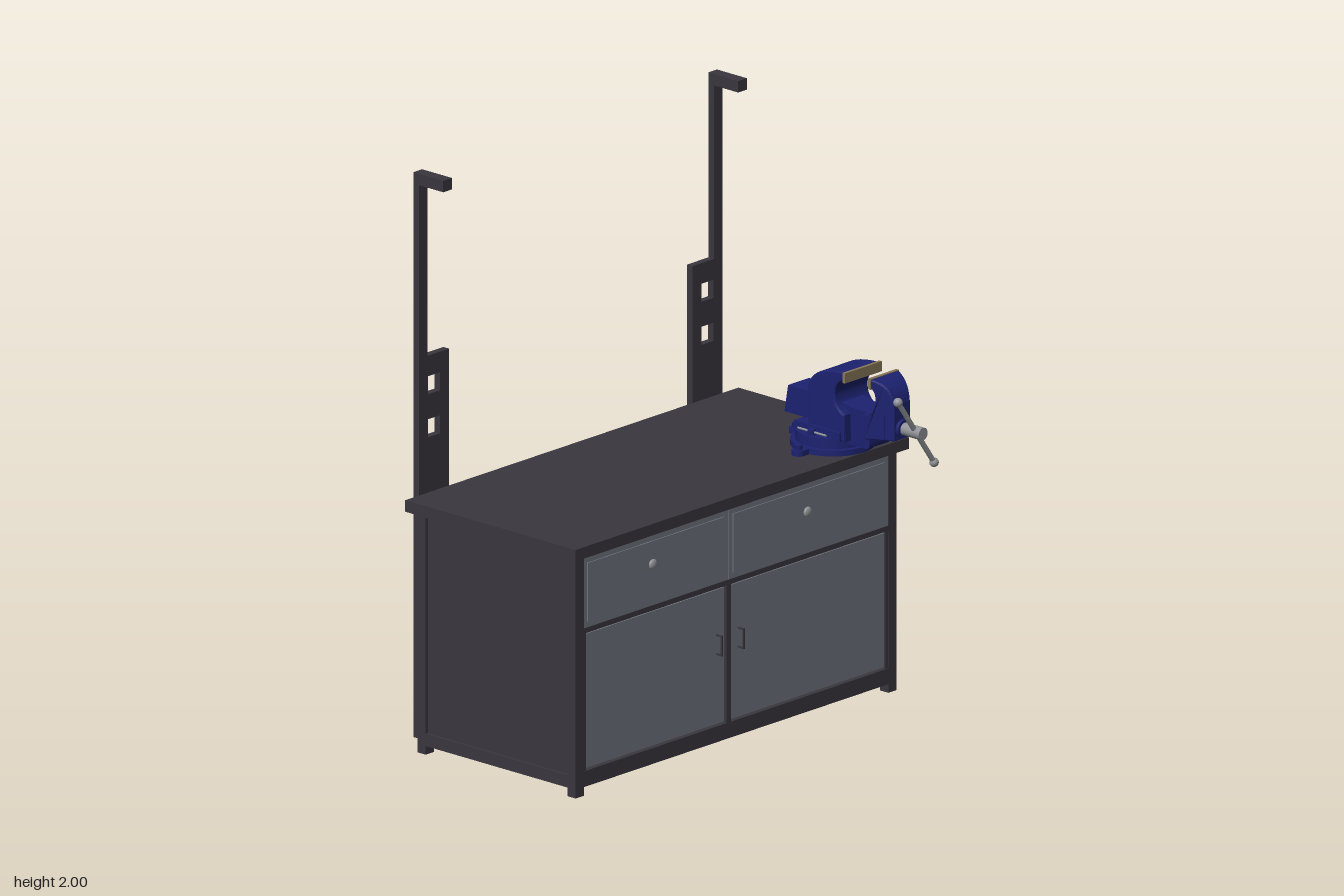
import * as THREE from 'three';

const mat = (color) => new THREE.MeshStandardMaterial({ color });
const dark = mat(0x39373e);
const panel = mat(0x70757f);
const blue = mat(0x1c2270);
const steel = mat(0x8f9296);
const brass = mat(0x857659);

function add(parent, name, geo, material) {
  const mesh = new THREE.Mesh(geo, material);
  mesh.name = name;
  parent.add(mesh);
  return mesh;
}

// Box given by its minimum and maximum on each axis
function box(parent, name, material, x0, x1, y0, y1, z0, z1) {
  const m = add(parent, name, new THREE.BoxGeometry(x1 - x0, y1 - y0, z1 - z0), material);
  m.position.set((x0 + x1) / 2, (y0 + y1) / 2, (z0 + z1) / 2);
  return m;
}

// Cylinder between two points
function rod(parent, name, material, a, b, r, sides = 20) {
  const p = new THREE.Vector3(...a), q = new THREE.Vector3(...b);
  const m = add(parent, name, new THREE.CylinderGeometry(r, r, p.distanceTo(q), sides), material);
  m.position.copy(p).add(q).multiplyScalar(0.5);
  m.quaternion.setFromUnitVectors(new THREE.Vector3(0, 1, 0), q.sub(p).normalize());
  return m;
}

// Side profile in x and y, extruded to a width centred on z = 0
function slab(shape, width, bevel = 0) {
  const geo = new THREE.ExtrudeGeometry(shape, {
    depth: width - 2 * bevel, curveSegments: 10, bevelEnabled: bevel > 0,
    bevelSize: bevel, bevelThickness: bevel, bevelOffset: -bevel, bevelSegments: 2,
  });
  return geo.translate(0, 0, -width / 2 + bevel);
}

function buildCabinet() {
  const g = new THREE.Group();
  g.name = 'cabinet';
  box(g, 'worktop', dark, -0.505, 0.265, 0.84, 0.88, -0.81, 0.81);
  for (const s of [-1, 1]) {
    const [z0, z1] = s > 0 ? [0.74, 0.78] : [-0.78, -0.74];
    box(g, 'backLeg', dark, -0.478, -0.44, 0, 0.84, z0, z1);
    box(g, 'frontLeg', dark, 0.2, 0.238, 0, 0.84, z0, z1);
    box(g, 'endBottomRail', dark, -0.44, 0.2, 0.03, 0.073, z0, z1);
    box(g, 'endTopRail', dark, -0.44, 0.2, 0.825, 0.84, z0, z1);
    box(g, 'endPanel', s > 0 ? dark : panel, -0.44, 0.2, 0.073, 0.825, s * 0.762 - 0.008, s * 0.762 + 0.008);
  }
  box(g, 'floor', dark, -0.47, 0.2, 0.03, 0.05, -0.74, 0.74);
  box(g, 'backPanel', dark, -0.473, -0.458, 0.03, 0.84, -0.74, 0.74);
  box(g, 'bottomRail', dark, 0.2, 0.238, 0.03, 0.085, -0.74, 0.74);
  box(g, 'middleRail', dark, 0.2, 0.238, 0.565, 0.583, -0.74, 0.74);
  box(g, 'topRail', dark, 0.2, 0.235, 0.828, 0.84, -0.74, 0.74);
  box(g, 'centrePost', dark, 0.2, 0.238, 0.085, 0.565, 0.024, 0.048);

  // Two bays, each with a drawer above a door
  for (const [z0, z1, knobZ, pullZ] of [[0.048, 0.73, 0.413, 0.09], [-0.73, 0.024, -0.339, -0.016]]) {
    const front = z0 > 0;
    box(g, 'drawerFront', panel, 0.215, 0.236, 0.583, 0.828, front ? 0.0365 : -0.74, front ? 0.74 : 0.0355);
    box(g, 'drawerPanel', panel, 0.236, 0.24, 0.603, 0.808, z0 + 0.008, z1 - 0.008);
    box(g, 'door', panel, 0.215, 0.233, 0.092, 0.56, z0 + 0.005, z1 - 0.002);
    box(g, 'hingeStile', dark, 0.2, 0.236, 0.085, 0.565, front ? 0.728 : -0.74, front ? 0.74 : -0.728);
    rod(g, 'drawerKnobStem', steel, [0.236, 0.73, knobZ], [0.247, 0.73, knobZ], 0.009);
    const knob = add(g, 'drawerKnob', new THREE.SphereGeometry(0.018, 20, 12), steel);
    knob.scale.x = 0.5;
    knob.position.set(0.246, 0.73, knobZ);
    box(g, 'doorPull', dark, 0.254, 0.26, 0.333, 0.405, pullZ - 0.003, pullZ + 0.003);
    for (const y of [0.333, 0.399])
      box(g, 'doorPullFoot', dark, 0.23, 0.256, y, y + 0.006, pullZ - 0.003, pullZ + 0.003);
  }
  return g;
}

// Rear upright with a perforated plate and a short arm at the top
function buildUpright(s) {
  const g = new THREE.Group();
  g.name = s > 0 ? 'uprightNear' : 'uprightFar';
  const zBox = (name, x0, x1, y0, y1, a, b) =>
    box(g, name, dark, x0, x1, y0, y1, Math.min(s * a, s * b), Math.max(s * a, s * b));
  zBox('footColumn', -0.535, -0.478, 0.03, 0.58, 0.592, 0.738);
  zBox('post', -0.535, -0.51, 0.58, 2, 0.696, 0.738);
  zBox('arm', -0.51, -0.4, 1.96, 2, 0.696, 0.738);
  const rect = (C, z0, z1, y0, y1) => new C([[z0, y0], [z1, y0], [z1, y1], [z0, y1]].map((p) => new THREE.Vector2(...p)));
  const [z0, z1] = s > 0 ? [0.592, 0.696] : [-0.696, -0.592];
  const [h0, h1] = s > 0 ? [0.635, 0.694] : [-0.694, -0.635];
  const plate = rect(THREE.Shape, z0, z1, 0.58, 1.355);
  for (const y of [1.07, 1.22]) plate.holes.push(rect(THREE.Path, h0, h1, y, y + 0.063));
  const geo = new THREE.ExtrudeGeometry(plate, { depth: 0.025, bevelEnabled: false });
  geo.rotateY(-Math.PI / 2); // shape x becomes z
  add(g, 'perforatedPlate', geo, dark).position.x = -0.51;
  return g;
}

function buildVise() {
  const g = new THREE.Group();
  g.name = 'vise';
  g.position.z = -0.595;
  const cx = 0.122;

  // Round base with three bolted lugs
  rod(g, 'baseFlange', blue, [cx, 0.88, 0], [cx, 0.9, 0], 0.142, 40);
  rod(g, 'swivelDisc', blue, [cx, 0.9, 0], [cx, 0.935, 0], 0.125, 40);
  for (const angle of [0, Math.PI / 2, Math.PI]) {
    const lug = new THREE.Group();
    lug.name = 'baseLug';
    lug.position.x = cx;
    lug.rotation.y = angle + Math.PI / 2;
    g.add(lug);
    box(lug, 'lugArm', blue, 0.12, 0.167, 0.88, 0.899, -0.023, 0.023);
    rod(lug, 'lugEnd', blue, [0.167, 0.88, 0], [0.167, 0.899, 0], 0.023);
    rod(lug, 'lugBolt', blue, [0.167, 0.899, 0], [0.167, 0.915, 0], 0.014, 6);
  }
  // Swivel locks with cross bars
  for (const s of [-1, 1]) {
    rod(g, 'swivelLock', blue, [cx, 0.93, s * 0.103], [cx, 0.955, s * 0.103], 0.014, 12);
    rod(g, 'swivelLockBar', steel, [0.06, 0.945, s * 0.103], [0.187, 0.945, s * 0.103], 0.004, 8);
    rod(g, 'swivelScrew', steel, [0.02, 0.93, s * 0.055], [0.02, 0.942, s * 0.055], 0.008, 10);
  }

  // Fixed body with arched jaw
  const body = new THREE.Shape();
  body.moveTo(0.07, 0.93);
  body.lineTo(0.25, 0.93);
  body.lineTo(0.25, 1.025);
  body.quadraticCurveTo(0.205, 1.04, 0.205, 1.09);
  body.quadraticCurveTo(0.21, 1.135, 0.25, 1.145);
  body.lineTo(0.25, 1.175);
  body.quadraticCurveTo(0.11, 1.17, 0.085, 1.1);
  body.lineTo(0.085, 0.96);
  add(g, 'fixedJaw', slab(body, 0.165, 0.006), blue);
  box(g, 'bodyFoot', blue, 0.03, 0.235, 0.93, 0.962, -0.09, 0.09);
  box(g, 'fixedJawPlate', brass, 0.248, 0.26, 1.14, 1.175, -0.09, 0.09);

  // Sliding beam with slanted rear end
  const beam = new THREE.Shape([[-0.05, 0.965], [0.4, 0.965], [0.4, 1.045], [0.25, 1.045], [0.2, 1.06], [-0.033, 1.06]]
    .map((p) => new THREE.Vector2(...p)));
  add(g, 'slidingBeam', slab(beam, 0.102), blue);
  const support = new THREE.Shape();
  support.moveTo(0.24, 0.915);
  support.lineTo(0.315, 0.915);
  support.quadraticCurveTo(0.335, 0.915, 0.335, 0.94);
  support.lineTo(0.335, 0.97);
  support.lineTo(0.24, 0.97);
  add(g, 'beamSupport', slab(support, 0.1), blue);

  // Moving jaw, narrowing toward its front
  const jaw = new THREE.Shape();
  jaw.moveTo(0.325, 0.955);
  jaw.lineTo(0.435, 0.965);
  jaw.lineTo(0.435, 1.09);
  jaw.quadraticCurveTo(0.425, 1.16, 0.355, 1.17);
  jaw.lineTo(0.355, 1.14);
  jaw.quadraticCurveTo(0.375, 1.12, 0.368, 1.085);
  jaw.quadraticCurveTo(0.36, 1.05, 0.325, 1.043);
  const jawGeo = slab(jaw, 0.137, 0.005);
  const pos = jawGeo.attributes.position;
  for (let i = 0; i < pos.count; i++) {
    const t = THREE.MathUtils.clamp((pos.getX(i) - 0.355) / 0.08, 0, 1);
    pos.setZ(i, pos.getZ(i) * (1 - 0.43 * t));
  }
  jawGeo.computeVertexNormals();
  add(g, 'movingJaw', jawGeo, blue);
  box(g, 'movingJawPlate', brass, 0.344, 0.357, 1.135, 1.172, -0.069, 0.069);

  // Screw and tilted tommy bar
  rod(g, 'screwCollar', blue, [0.43, 1.003, 0], [0.447, 1.003, 0], 0.032);
  rod(g, 'screw', steel, [0.44, 1.003, 0], [0.53, 1.003, 0], 0.022);
  const ends = [[0.5, 1.128, 0.09], [0.5, 0.878, -0.085]];
  rod(g, 'handleBar', steel, ...ends, 0.009, 14);
  for (const e of ends) add(g, 'handleKnob', new THREE.SphereGeometry(0.016, 16, 12), steel).position.set(...e);
  return g;
}

export function createModel() {
  const model = new THREE.Group();
  model.name = 'workbench';
  model.add(buildCabinet(), buildUpright(1), buildUpright(-1), buildVise());
  return model;
}
